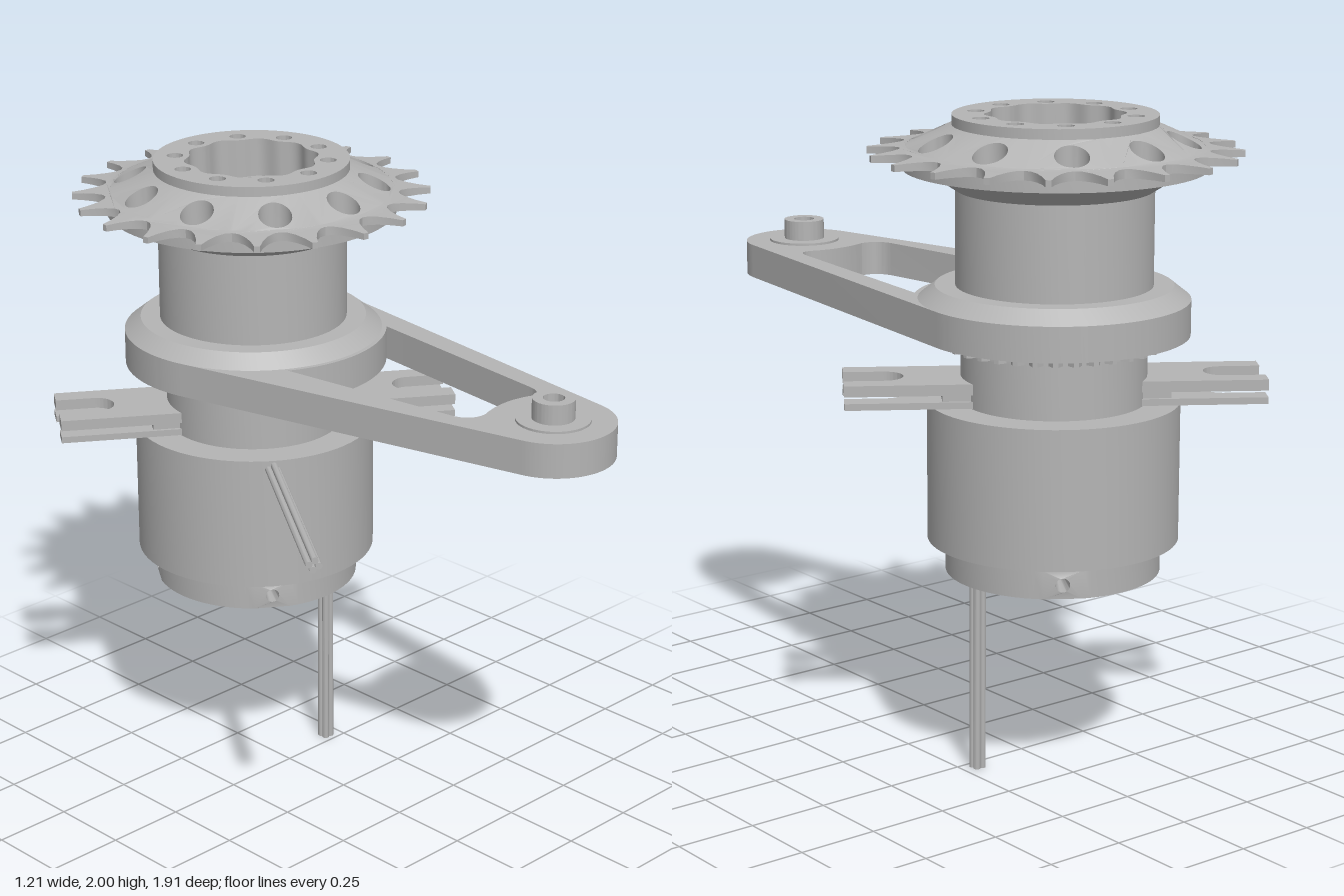
import * as THREE from 'three';
import { mergeGeometries, toCreasedNormals } from 'three/addons/utils/BufferGeometryUtils.js';

const steel = new THREE.MeshStandardMaterial({ color: 0xb4b4b4 });
steel.name = 'steel grey';

const DEG = Math.PI / 180;
const BORE = 0.19;

function addMesh(parent, name, geometry) {
  const mesh = new THREE.Mesh(toCreasedNormals(geometry, 0.5), steel);
  mesh.name = name;
  parent.add(mesh);
  return mesh;
}

// Closed ring turned about y, from an outer profile listed bottom to top
function turned(outer, bore = BORE, start = 0, length = Math.PI * 2) {
  const inner = [[bore, outer[outer.length - 1][1]], [bore, outer[0][1]]];
  const points = [inner[1], ...outer, ...inner].map(([r, y]) => new THREE.Vector2(r, y));
  return new THREE.LatheGeometry(points, Math.max(4, Math.round(72 * length / (Math.PI * 2))), start, length);
}

// Flat plate: shape y points to the back, thickness runs from y0 to y1
function plate(shape, y0, y1) {
  const g = new THREE.ExtrudeGeometry(shape, { depth: y1 - y0, bevelEnabled: false, curveSegments: 48 });
  return g.rotateX(-Math.PI / 2).translate(0, y0, 0);
}

const circle = (x, y, r) => new THREE.Path().absarc(x, y, r, 0, Math.PI * 2, true);

// Closed outline given as radius over angle
function polar(count, radius) {
  const pts = [];
  for (let i = 0; i < count; i++) {
    const a = (i / count) * Math.PI * 2;
    pts.push(new THREE.Vector2(Math.cos(a), Math.sin(a)).multiplyScalar(radius(a, i)));
  }
  return pts;
}

// Raises the top face of a plate to the sprocket's conical surface
function shapeTop(g, y0) {
  const p = g.attributes.position;
  for (let i = 0; i < p.count; i++) {
    if (p.getY(i) < y0 + 0.001) continue;
    const r = Math.hypot(p.getX(i), p.getZ(i));
    p.setY(i, r < 0.435 ? 1.97 - 0.46 * (r - 0.3) : 1.908 - 0.08 * (r - 0.435));
  }
  return g;
}

function addSprocket(parent) {
  const phase = 93.4 * DEG;
  const y0 = 1.88;

  // Toothed rim
  const teeth = [];
  const flank = [[-0.5, 0.45], [-0.36, 0.456], [-0.22, 0.478], [-0.11, 0.512], [-0.05, 0.547],
    [0.05, 0.547], [0.11, 0.512], [0.22, 0.478], [0.36, 0.456]];
  for (let i = 0; i < 20; i++) {
    for (const [t, r] of flank) {
      const a = 84.4 * DEG + (i + t) * 18 * DEG;
      teeth.push(new THREE.Vector2(r * Math.cos(a), r * Math.sin(a)));
    }
  }
  const rim = new THREE.Shape(teeth);
  rim.holes.push(circle(0, 0, 0.432));
  addMesh(parent, 'sprocketTeeth', shapeTop(plate(rim, y0, 1.91), y0));

  // Conical web in ten sectors, each with a round hole
  const sectors = [];
  for (let i = 0; i < 10; i++) {
    const a = phase + i * 36 * DEG;
    const s = new THREE.Shape();
    s.absarc(0, 0, 0.434, a - 18 * DEG, a + 18 * DEG, false);
    s.absarc(0, 0, 0.298, a + 18 * DEG, a - 18 * DEG, true);
    s.holes.push(circle(0.375 * Math.cos(a), 0.375 * Math.sin(a), 0.05));
    const g = new THREE.ExtrudeGeometry(s, { depth: 0.05, bevelEnabled: false, curveSegments: 16 });
    sectors.push(shapeTop(g.rotateX(-Math.PI / 2).translate(0, y0, 0), y0));
  }
  addMesh(parent, 'sprocketWeb', mergeGeometries(sectors));

  // Hub with scalloped bore and bolt holes
  const hub = new THREE.Shape().absarc(0, 0, 0.3, 0, Math.PI * 2, false);
  hub.holes.push(new THREE.Path(polar(120, a => 0.199 - 0.008 * Math.cos(10 * (a - phase)))));
  for (let i = 0; i < 10; i++) {
    const a = phase + i * 36 * DEG;
    hub.holes.push(circle(0.235 * Math.cos(a), 0.235 * Math.sin(a), 0.025));
  }
  addMesh(parent, 'sprocketHub', plate(hub, y0, 2));
}

function addArm(parent) {
  const lug = { x: 0.067, y: -1.181, r: 0.185 };
  const a = Math.atan2(lug.y, lug.x);
  const b = Math.acos((0.4 - lug.r) / Math.hypot(lug.x, lug.y));

  // Outline tangent to the hub and the lug
  const s = new THREE.Shape();
  s.absarc(0, 0, 0.4, a + b, a - b + Math.PI * 2, false);
  s.absarc(lug.x, lug.y, lug.r, a - b, a + b, false);
  s.closePath();
  const opening = new THREE.Path();
  opening.moveTo(-0.2, -0.362);
  opening.lineTo(-0.115, -0.96);
  opening.quadraticCurveTo(-0.1, -1.02, -0.04, -1.015);
  opening.quadraticCurveTo(lug.x, -0.975, 0.16, -1.01);
  opening.quadraticCurveTo(0.205, -1.02, 0.213, -0.96);
  opening.lineTo(0.285, -0.3);
  opening.absarc(0, 0, 0.414, Math.atan2(-0.3, 0.285), Math.atan2(-0.362, -0.2), true);
  s.holes.push(opening, circle(0, 0, BORE), circle(lug.x, lug.y, 0.033));
  addMesh(parent, 'arm', plate(s, 1.355, 1.46));
  addMesh(parent, 'armCollar', turned([[0.4, 1.46], [0.35, 1.5]]));

  // Pin and washers on the lug
  const pin = turned([[0.11, 1.345], [0.11, 1.355], [0.063, 1.355], [0.063, 1.46],
    [0.11, 1.46], [0.11, 1.467], [0.063, 1.467], [0.063, 1.528]], 0.032);
  addMesh(parent, 'armPin', pin).position.set(lug.x, 0, -lug.y);
}

function addForks(parent) {
  const fork = new THREE.Shape();
  fork.moveTo(0.2, -0.12);
  fork.lineTo(0.62, -0.12);
  fork.lineTo(0.62, -0.057);
  fork.lineTo(0.5, -0.057);
  fork.absarc(0.5, 0, 0.057, -Math.PI / 2, Math.PI / 2, true);
  fork.lineTo(0.62, 0.057);
  fork.lineTo(0.62, 0.12);
  fork.lineTo(0.2, 0.12);
  for (const [side, turn] of [['left', -34.2], ['right', 145.8]]) {
    const g = new THREE.Group();
    g.name = side + 'Fork';
    g.rotation.y = turn * DEG;
    parent.add(g);
    addMesh(g, 'lowerForkPlate', plate(fork, 1.157, 1.177));
    addMesh(g, 'upperForkPlate', plate(fork, 1.197, 1.23));
    addMesh(g, 'forkSpacer', new THREE.BoxGeometry(0.13, 0.024, 0.22).translate(0.27, 1.187, 0));
  }
}

// Clamp ring with three radial screw holes
function addClampRing(parent) {
  const R = 0.32, y0 = 0.635, y1 = 0.72, half = 0.18;
  const at = [-124.2, -34.2, 145.8].map(d => d * DEG);
  const parts = at.map((phi, i) => {
    const next = i < 2 ? at[i + 1] : at[0] + Math.PI * 2;
    return turned([[R, y0], [R, y1]], BORE, phi + half, next - phi - 2 * half).toNonIndexed();
  });
  for (const phi of at) {
    const u = half * R;
    const s = new THREE.Shape([[-u, y0], [u, y0], [u, y1], [-u, y1]].map(p => new THREE.Vector2(...p)));
    s.holes.push(circle(0, 0.677, 0.021));
    const g = new THREE.ExtrudeGeometry(s, { depth: R - BORE, bevelEnabled: false, curveSegments: 20 });
    const p = g.attributes.position;
    for (let i = 0; i < p.count; i++) {
      const r = BORE + p.getZ(i), a = phi + p.getX(i) / R;
      p.setXYZ(i, r * Math.sin(a), p.getY(i), r * Math.cos(a));
    }
    parts.push(g);
  }
  addMesh(parent, 'clampRing', mergeGeometries(parts));
}

// Bundle of four thin wires between two points
function addCable(parent, name, from, to) {
  const a = new THREE.Vector3(...from), b = new THREE.Vector3(...to);
  const g = new THREE.Group();
  g.name = name;
  g.position.copy(a).add(b).multiplyScalar(0.5);
  g.quaternion.setFromUnitVectors(new THREE.Vector3(0, 1, 0), b.clone().sub(a).normalize());
  for (const x of [-0.0103, 0.0103]) for (const z of [-0.0103, 0.0103]) {
    addMesh(g, 'wire', new THREE.CylinderGeometry(0.0105, 0.0105, a.distanceTo(b), 16).translate(x, 0, z));
  }
  parent.add(g);
}

export function createModel() {
  const model = new THREE.Group();
  model.name = 'sprocketHubAssembly';
  const axle = new THREE.Group();
  axle.name = 'axleParts';
  axle.position.set(0.017, 0, -0.415);
  model.add(axle);

  // Stacked turned parts
  addClampRing(axle);
  addMesh(axle, 'housing', turned([[0.24, 0.72], [0.24, 0.735], [0.374, 0.735], [0.374, 1.155]]));
  addMesh(axle, 'neck', turned([[0.275, 1.155], [0.275, 1.355]]));
  addMesh(axle, 'spindle', turned([[0.29, 1.5], [0.29, 1.783]]));
  addMesh(axle, 'flange', turned([[0.29, 1.783], [0.385, 1.845], [0.445, 1.845], [0.445, 1.88]]));

  // Fine toothed ring under the arm
  const ring = new THREE.Shape(polar(144, (a, i) => (i % 4 < 2 ? 0.337 : 0.315)));
  ring.holes.push(circle(0, 0, 0.27));
  addMesh(axle, 'toothedRing', plate(ring, 1.327, 1.355));

  addArm(axle);
  addForks(axle);
  addSprocket(axle);

  addCable(model, 'lowerCable', [0.2, 0, -0.285], [0.2, 0.66, -0.285]);
  addCable(model, 'sideCable', [-0.18, 1.125, -0.13], [-0.592, 1.125, 0.476]);
  return model;
}
